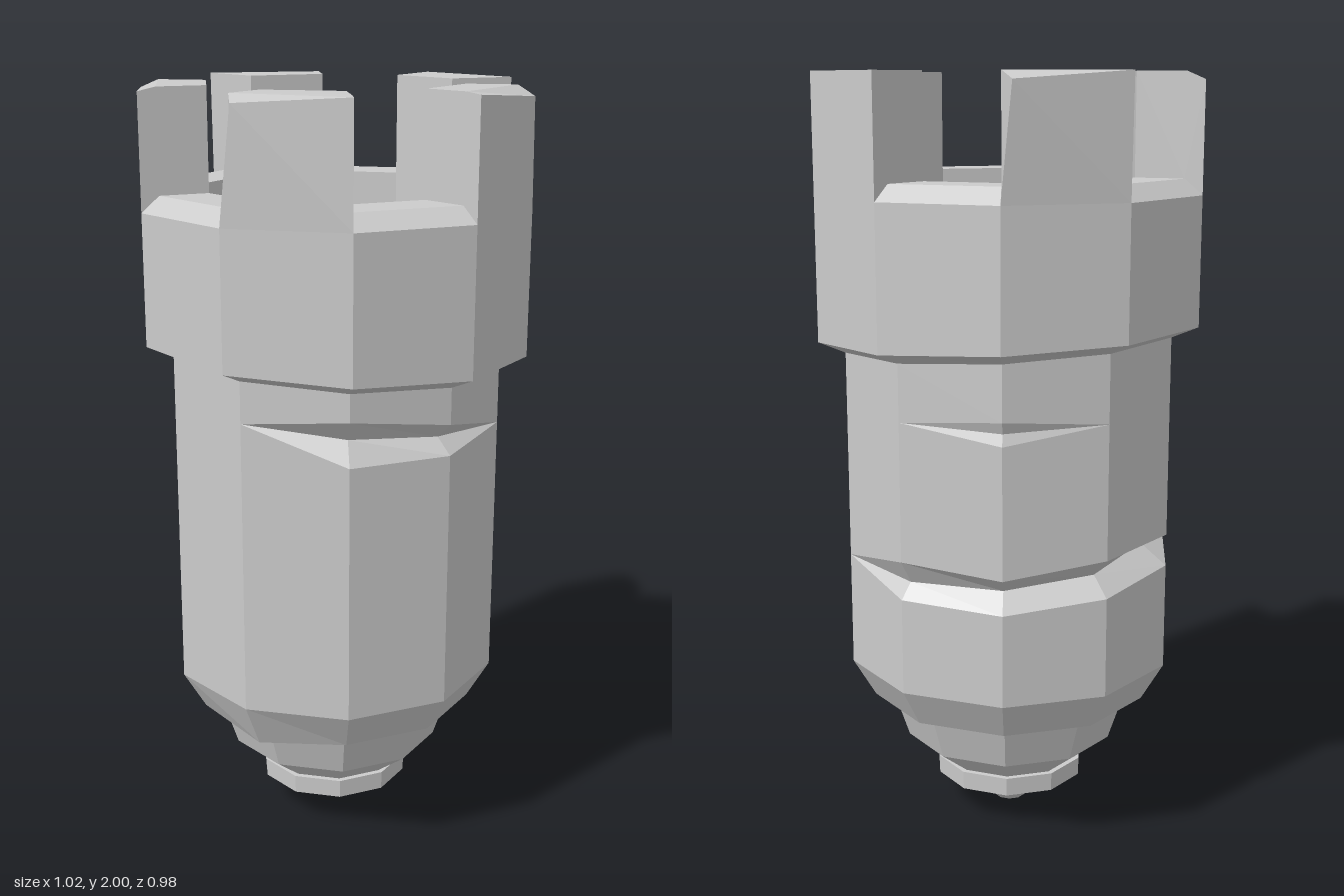
import * as THREE from 'three';

const N = 10;            // sides of the tower
const Z0 = -0.008;       // axis offset
const R_OUT = 0.51, R_IN = 0.335, R_BODY = 0.44, R_BEVEL = 0.463;
const Y_CRENEL = 1.70, Y_LEDGE = 1.74, Y_TOP = 2, Y_FLOOR = 1.36;

const point = (deg, r, y) => {
  const a = THREE.MathUtils.degToRad(deg);
  return new THREE.Vector3(r * Math.cos(a), y, r * Math.sin(a) + Z0);
};

// Adds a triangle, skipping collapsed ones
function tri(out, a, b, c) {
  const area = b.clone().sub(a).cross(c.clone().sub(a)).length();
  if (area > 1e-7) for (const p of [a, b, c]) out.push(p.x, p.y, p.z);
}

// Skin between two neighbouring profiles, listed along the same path
function strip(out, A, B) {
  for (let i = 0; i < A.length - 1; i++) {
    tri(out, A[i], A[i + 1], B[i + 1]);
    tri(out, A[i], B[i + 1], B[i]);
  }
}

function makeMesh(name, positions) {
  const geo = new THREE.BufferGeometry();
  geo.setAttribute('position', new THREE.Float32BufferAttribute(positions, 3));
  geo.computeVertexNormals();
  const mesh = new THREE.Mesh(geo, new THREE.MeshStandardMaterial({ color: 0xcccccc, flatShading: true }));
  mesh.name = name;
  return mesh;
}

// Faceted turned part; profile(k) gives [radius, y] pairs for corner k
function turned(name, profile) {
  const out = [];
  const column = (k) => profile(k % N).map(([r, y]) => point(36 * (k % N), r, y));
  for (let k = 0; k < N; k++) strip(out, column(k), column(k + 1));
  return makeMesh(name, out);
}

// Cracks per corner: [lower lip, deepest, upper lip, depth]
const upperCrack = {
  0: [1.14, 1.14, 1.14, 0], 1: [1.12, 1.16, 1.20, 0.045],
  2: [1.12, 1.18, 1.235, 0.045], 3: [1.215, 1.215, 1.215, 0],
  7: [1.12, 1.15, 1.18, 0.012],
};
const lowerCrack = {
  3: [0.8, 0.8, 0.8, 0.012], 4: [0.785, 0.785, 0.785, 0],
  5: [0.73, 0.785, 0.815, 0.07], 6: [0.71, 0.76, 0.81, 0.055],
  7: [0.69, 0.74, 0.78, 0.05], 8: [0.70, 0.74, 0.80, 0.035],
  9: [0.75, 0.75, 0.75, 0],
};
const crackRows = ([lo, mid, hi, depth]) => [[R_BODY, lo], [R_BODY - depth, mid], [R_BODY, hi]];

// Slight tilt of the collar from side to side
const tilt = (k) => -0.025 * Math.cos(k * Math.PI / 5);

// Merlons: first corner, outer top heights and angle trimmed off each end
const merlons = [
  { k: 0, y: [1.975, 1.995], trim: [3.5, 0], r: [0.51, 0.51] },
  { k: 2, y: [1.998, 1.982], trim: [0, 4], r: [0.51, 0.512] },
  { k: 4, y: [1.99, 1.98], trim: [0, 0], r: [0.51, 0.51] },
  { k: 6, y: [2, 1.98], trim: [0, 3], r: [0.515, 0.52] },
  { k: 8, y: [2, 2], trim: [0, 0], r: [0.51, 0.51] },
];

function merlon({ k, y, trim, r }) {
  const out = [];
  const side = (e) => {
    const deg = 36 * (k + e);
    const outer = deg + (e ? -trim[1] : trim[0]);
    return [
      point(deg, R_OUT, Y_CRENEL), point(outer, r[e], y[e]),
      point(deg, R_BEVEL, Y_TOP), point(deg, R_IN, Y_TOP), point(deg, R_IN, Y_LEDGE),
    ];
  };
  const A = side(0), B = side(1);
  strip(out, A, B);
  // End walls, fanned from the ledge corner
  const fa = point(36 * k, R_BEVEL, Y_LEDGE), fb = point(36 * (k + 1), R_BEVEL, Y_LEDGE);
  for (let i = 0; i < 4; i++) {
    tri(out, fa, A[i + 1], A[i]);
    tri(out, fb, B[i], B[i + 1]);
  }
  return makeMesh('merlon', out);
}

// Bevelled ledge in the gap between merlons
function crenel(k) {
  const out = [];
  const side = (deg) => [
    point(deg, R_OUT, Y_CRENEL), point(deg, R_BEVEL, Y_LEDGE), point(deg, R_IN, Y_LEDGE),
  ];
  strip(out, side(36 * k), side(36 * (k + 1)));
  return makeMesh('crenelLedge', out);
}

export function createModel() {
  const model = new THREE.Group();
  model.name = 'tower';

  // Pointed foot with its small ring
  model.add(turned('footTip', () => [[0, 0], [0.042, 0], [0.125, 0.07]]));
  model.add(turned('footRing', () => [[0.125, 0.07], [0.203, 0.09], [0.205, 0.14], [0.19, 0.14]]));

  // Tapered neck under the body
  model.add(turned('neck', () => [[0.19, 0.14], [0.288, 0.216], [0.332, 0.348]]));

  // Cracked ten-sided body
  model.add(turned('body', (k) => [
    [0.325, 0.348],
    [0.38, k === 3 ? 0.325 : 0.345],
    [R_BODY, 0.448],
    ...crackRows(lowerCrack[k] ?? [0.76, 0.76, 0.76, 0]),
    ...crackRows(upperCrack[k] ?? [1.16, 1.16, 1.16, 0]),
    [R_BODY, 1.315 + tilt(k)],
  ]));

  // Flared collar and hollow crown
  model.add(turned('crownWall', (k) => [
    [R_BODY, 1.315 + tilt(k)], [R_OUT, 1.345 + tilt(k)], [R_OUT, Y_CRENEL],
  ]));
  model.add(turned('crownInside', () => [[R_IN, Y_LEDGE], [R_IN, Y_FLOOR], [0, Y_FLOOR]]));

  // Battlements
  for (const m of merlons) {
    model.add(merlon(m));
    model.add(crenel(m.k + 1));
  }
  return model;
}
